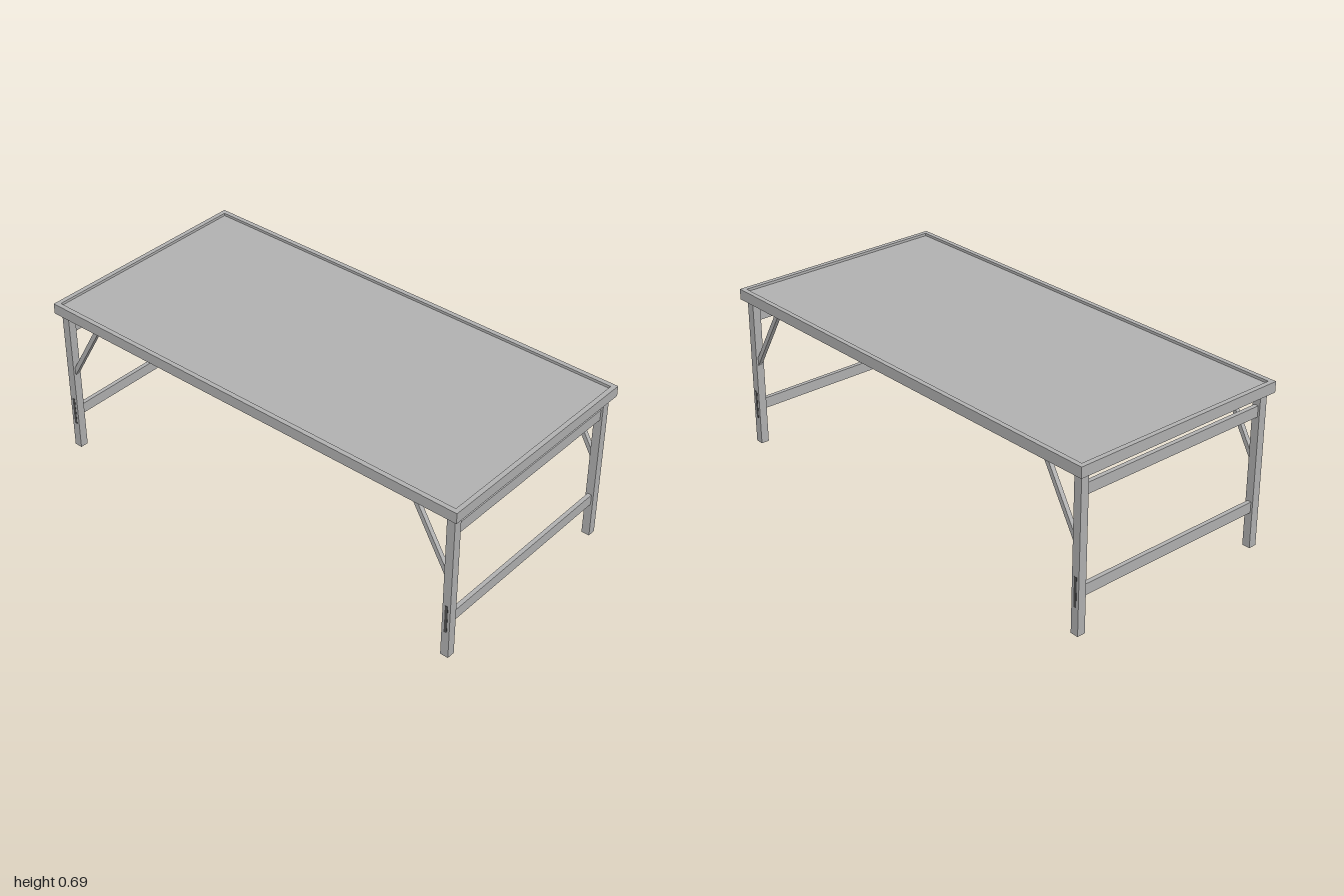
import * as THREE from 'three';

const steel = new THREE.MeshStandardMaterial({ color: 0xb4b4b4 });
steel.name = 'grey steel';
const dark = new THREE.MeshStandardMaterial({ color: 0x505050 });
dark.name = 'dark grey';

// Box given by its minimum and maximum corners
function box(parent, name, [x0, y0, z0], [x1, y1, z1], material = steel) {
  const mesh = new THREE.Mesh(new THREE.BoxGeometry(x1 - x0, y1 - y0, z1 - z0), material);
  mesh.position.set((x0 + x1) / 2, (y0 + y1) / 2, (z0 + z1) / 2);
  mesh.name = name;
  parent.add(mesh);
}

// Closed outline from a list of points
const outline = (points, Type = THREE.Shape) => new Type(points.map(([x, y]) => new THREE.Vector2(x, y)));
const rect = (x, y) => [[-x, -y], [x, -y], [x, y], [-x, y]];

export function createModel() {
  const table = new THREE.Group();
  table.name = 'foldingTable';

  // Rim around the recessed top panel
  const rimShape = outline(rect(0.49, 1));
  rimShape.holes.push(outline(rect(0.47, 0.98), THREE.Path));
  const rimGeometry = new THREE.ExtrudeGeometry(rimShape, { depth: 0.045, bevelEnabled: false });
  rimGeometry.rotateX(-Math.PI / 2).translate(0, 0.65, 0);
  const rim = new THREE.Mesh(rimGeometry, steel);
  rim.name = 'tableRim';
  table.add(rim);
  box(table, 'topPanel', [-0.47, 0.664, -0.98], [0.47, 0.684, 0.98]);

  // Diagonal brace profile: drawn in z and y, extruded along x
  const braceGeometry = new THREE.ExtrudeGeometry(
    outline([[0.945, 0.36], [0.945, 0.397], [0.788, 0.664], [0.766, 0.664]]),
    { depth: 0.018, bevelEnabled: false });
  braceGeometry.rotateY(-Math.PI / 2).translate(0.009, 0, 0);

  // One leg frame at each end
  for (const end of [1, -1]) {
    const frame = new THREE.Group();
    frame.name = end > 0 ? 'frontLegFrame' : 'backLegFrame';
    for (const side of [1, -1]) {
      const x = side * 0.4515;
      box(frame, 'leg', [x - 0.0175, 0, 0.945], [x + 0.0175, 0.664, 0.98]);

      const brace = new THREE.Mesh(braceGeometry, steel);
      brace.position.x = x;
      brace.name = 'diagonalBrace';
      frame.add(brace);

      // Narrow plate on the outer face of the leg
      const face = side * 0.469;
      box(frame, 'legPlate', [face - 0.001, 0.115, 0.956], [face + 0.001, 0.24, 0.969], dark);
    }
    // Cross rails
    for (const y of [0.152, 0.557]) {
      box(frame, 'crossRail', [-0.434, y, 0.9535], [0.434, y + 0.046, 0.9715]);
    }
    if (end < 0) frame.rotation.y = Math.PI;
    table.add(frame);
  }
  return table;
}
